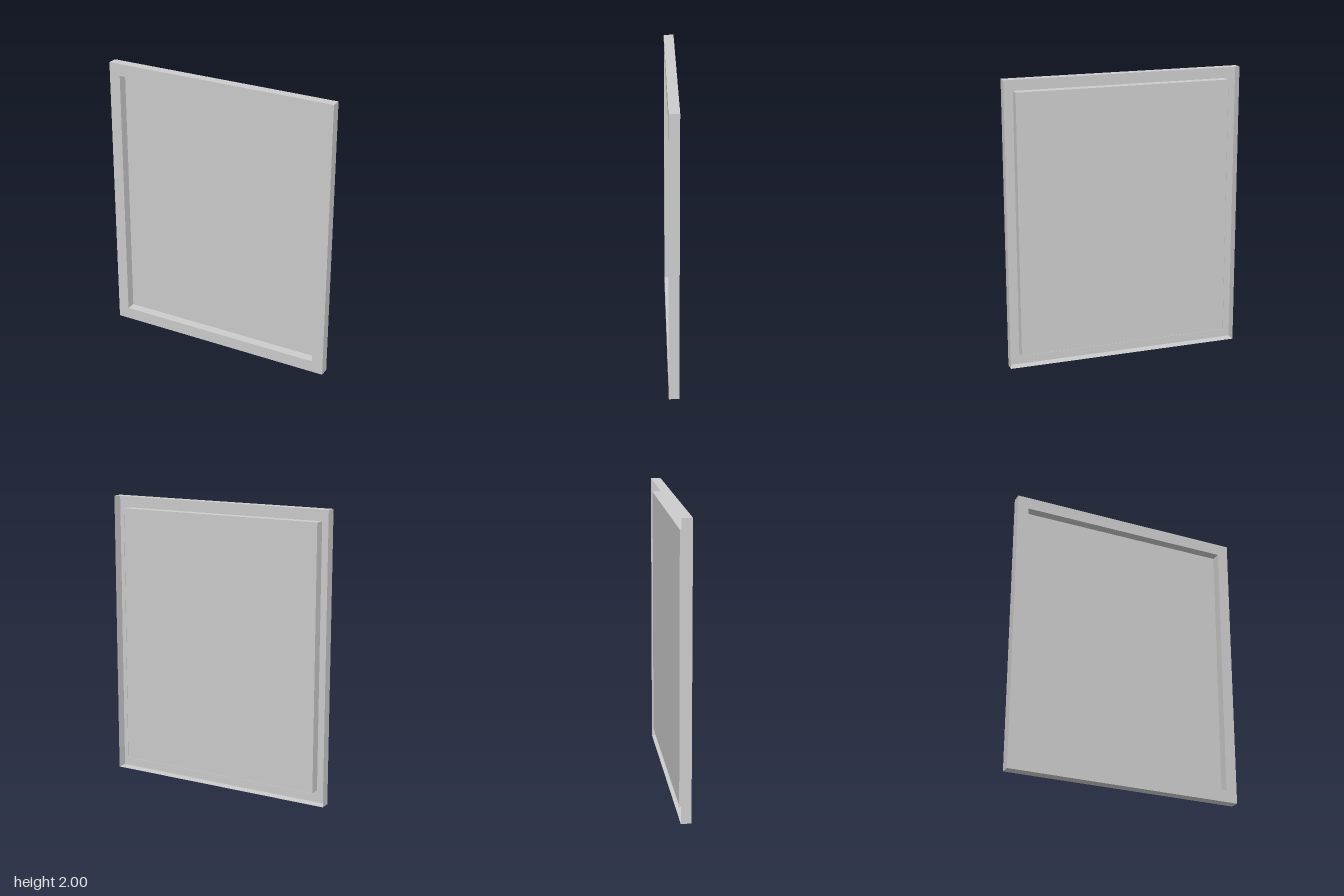
import * as THREE from 'three';

const material = new THREE.MeshStandardMaterial({ color: 0xcccccc, side: THREE.DoubleSide, flatShading: true });
const OUTER = { w: 1.667, h: 2 };
const INNER = { w: 1.508, h: 1.83 };
const FRONT = 0.035, BACK = -0.035, PANEL = -0.032;

function add(group, name, geometry, z = 0) {
  const mesh = new THREE.Mesh(geometry, material);
  mesh.name = name;
  mesh.position.z = z;
  group.add(mesh);
  return mesh;
}

// Four thin sheet walls around a rectangle, running front to back
function addWalls(group, name, { w, h }) {
  const walls = new THREE.Group();
  walls.name = name;
  const depth = FRONT - BACK;
  for (const s of [-1, 1]) {
    const side = add(walls, s > 0 ? 'leftWall' : 'rightWall', new THREE.PlaneGeometry(depth, h));
    side.rotation.y = s * Math.PI / 2;
    side.position.x = s * w / 2;
    const level = add(walls, s > 0 ? 'topWall' : 'bottomWall', new THREE.PlaneGeometry(w, depth));
    level.rotation.x = -s * Math.PI / 2;
    level.position.y = s * h / 2;
  }
  group.add(walls);
}

function rectangle(Type, { w, h }) {
  return new Type([[-1, -1], [1, -1], [1, 1], [-1, 1]].map(([x, y]) => new THREE.Vector2(x * w / 2, y * h / 2)));
}

export function createModel() {
  const root = new THREE.Group();
  root.name = 'framedPanel';
  const body = new THREE.Group();
  body.name = 'body';
  body.position.y = OUTER.h / 2;
  root.add(body);

  // Flat border facing the front
  const border = rectangle(THREE.Shape, OUTER);
  border.holes.push(rectangle(THREE.Path, INNER));
  add(body, 'frontBorder', new THREE.ShapeGeometry(border), FRONT);

  // Outer rim and inner recess walls, open between them at the back
  addWalls(body, 'outerRim', OUTER);
  addWalls(body, 'recessWalls', INNER);

  // Recessed panel, just inside the rear edge of the recess walls
  add(body, 'panel', new THREE.PlaneGeometry(INNER.w, INNER.h), PANEL);
  return root;
}
